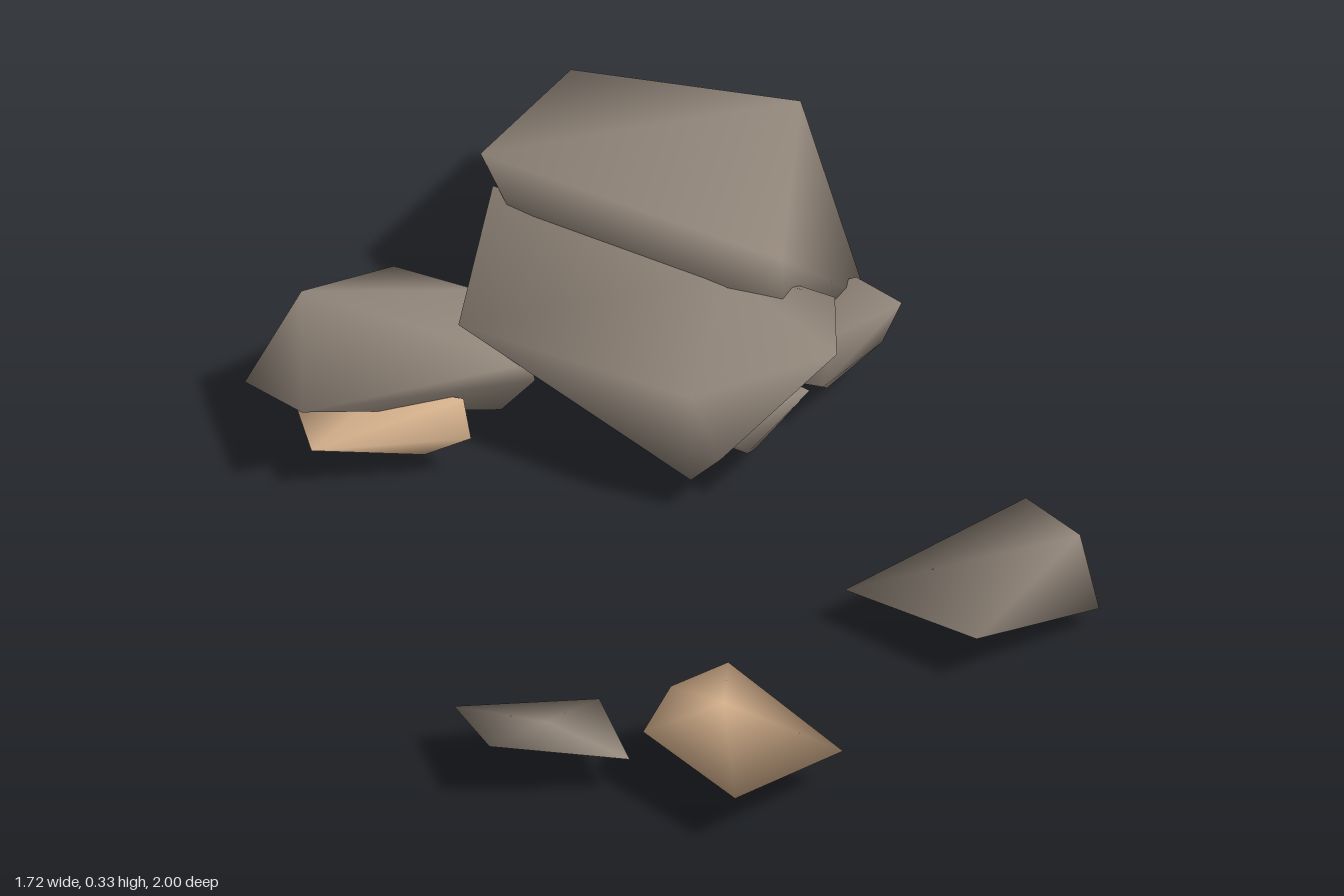
import * as THREE from 'three';
import { ConvexGeometry } from 'three/addons/geometries/ConvexGeometry.js';
import { mergeVertices } from 'three/addons/utils/BufferGeometryUtils.js';

// A chipped stone: convex hull of its corners, shaded smoothly
function stone(name, material, corners) {
  const hull = new ConvexGeometry(corners.map((c) => new THREE.Vector3(...c)));
  hull.deleteAttribute('normal');
  const geometry = mergeVertices(hull, 1e-4);
  geometry.computeVertexNormals();
  const mesh = new THREE.Mesh(geometry, material);
  mesh.name = name;
  return mesh;
}

// A thin shard: rim corners joined to a dipped top centre and a bottom centre
function shard(name, material, rim, top, bottom) {
  const n = rim.length;
  const index = [];
  for (let i = 0; i < n; i++) {
    const j = (i + 1) % n;
    index.push(i, j, n, j, i, n + 1);
  }
  const geometry = new THREE.BufferGeometry();
  geometry.setAttribute('position', new THREE.Float32BufferAttribute([...rim, top, bottom].flat(), 3));
  geometry.setIndex(index);
  geometry.computeVertexNormals();
  const mesh = new THREE.Mesh(geometry, material);
  mesh.name = name;
  return mesh;
}

export function createModel() {
  const grey = new THREE.MeshStandardMaterial({ name: 'greyStone', color: 0x94887c });
  const tan = new THREE.MeshStandardMaterial({ name: 'tanStone', color: 0xd4b08c });
  const group = new THREE.Group();
  group.name = 'rubble';

  group.add(
    // Main heap
    stone('backBoulder', grey, [
      [-0.725, 0.28, -0.53], [-0.755, 0.24, -0.915], [-0.435, 0.14, -1], [-0.28, 0.31, -0.94],
      [0.01, 0.12, -0.68], [0, 0.18, -0.6], [-0.02, 0.335, -0.42], [0, 0.25, -0.39],
      [-0.12, 0.27, -0.35], [-0.6, 0.25, -0.425], [-0.71, 0.035, -0.71], [-0.1, 0.09, -0.48],
    ]),
    stone('middleSlab', grey, [
      [-0.67, 0.255, -0.48], [-0.515, 0.22, -0.085], [-0.4, 0.1, -0.2], [0, 0.245, -0.05],
      [0, 0.065, -0.05], [0.04, 0.1, -0.09], [0.155, 0.24, -0.32], [0.07, 0.26, -0.46],
      [-0.12, 0.285, -0.4], [0.02, 0.1, -0.48], [-0.5, 0.12, -0.45],
    ]),
    stone('sideStone', grey, [
      [0.12, 0.175, -0.62], [0.09, 0.09, -0.6], [0.03, 0.025, -0.5], [0.08, 0.19, -0.44],
      [0, 0.17, -0.66], [0, 0.1, -0.38], [-0.15, 0.1, -0.58], [-0.36, 0.08, -0.45],
      [0.08, 0.1, -0.4],
    ]),
    stone('underStone', grey, [
      [0.08, 0.11, -0.12], [0.08, 0.12, -0.35], [0.03, 0.04, -0.23], [-0.06, 0.005, -0.38],
      [-0.16, 0.06, -0.2], [-0.1, 0.09, -0.42], [0, 0.12, -0.15],
    ]),
    stone('leaningStone', grey, [
      [-0.8, 0.25, 0], [-0.86, 0.09, 0.105], [-0.655, 0.17, 0.25], [-0.37, 0.175, -0.1],
      [-0.36, 0.14, -0.1], [-0.45, 0.03, -0.13], [-0.765, 0.16, -0.28], [-0.6, 0.15, -0.3],
    ]),
    stone('smallTanStone', tan, [
      [-0.74, 0.1, 0.13], [-0.64, 0.085, 0.24], [-0.41, 0.08, 0.05], [-0.455, 0.125, 0],
      [-0.59, 0.135, 0.05], [-0.48, 0.05, 0.1], [-0.64, 0.065, 0.2], [-0.6, 0.08, -0.04],
    ]),
    // Scattered pieces
    stone('outlyingStone', grey, [
      [0.615, 0.13, -0.22], [0.8, 0.175, -0.1], [0.855, 0.045, -0.075],
      [0.75, 0.095, 0.195], [0.44, 0.075, 0.145],
    ]),
    stone('tanStone', tan, [
      [0.455, 0.175, 0.6], [0.385, 0.15, 0.69], [0.385, 0.035, 0.685], [0.395, 0.12, 0.81],
      [0.64, 0.1, 0.895], [0.72, 0.085, 0.635], [0.51, 0.165, 0.71],
    ]),
    shard('thinShard', grey,
      [[0.23, 0.07, 0.685], [0.03, 0.095, 0.875], [0.175, 0.12, 0.995], [0.39, 0.08, 0.85]],
      [0.2, 0.09, 0.83], [0.23, 0.062, 0.83]),
  );
  return group;
}
